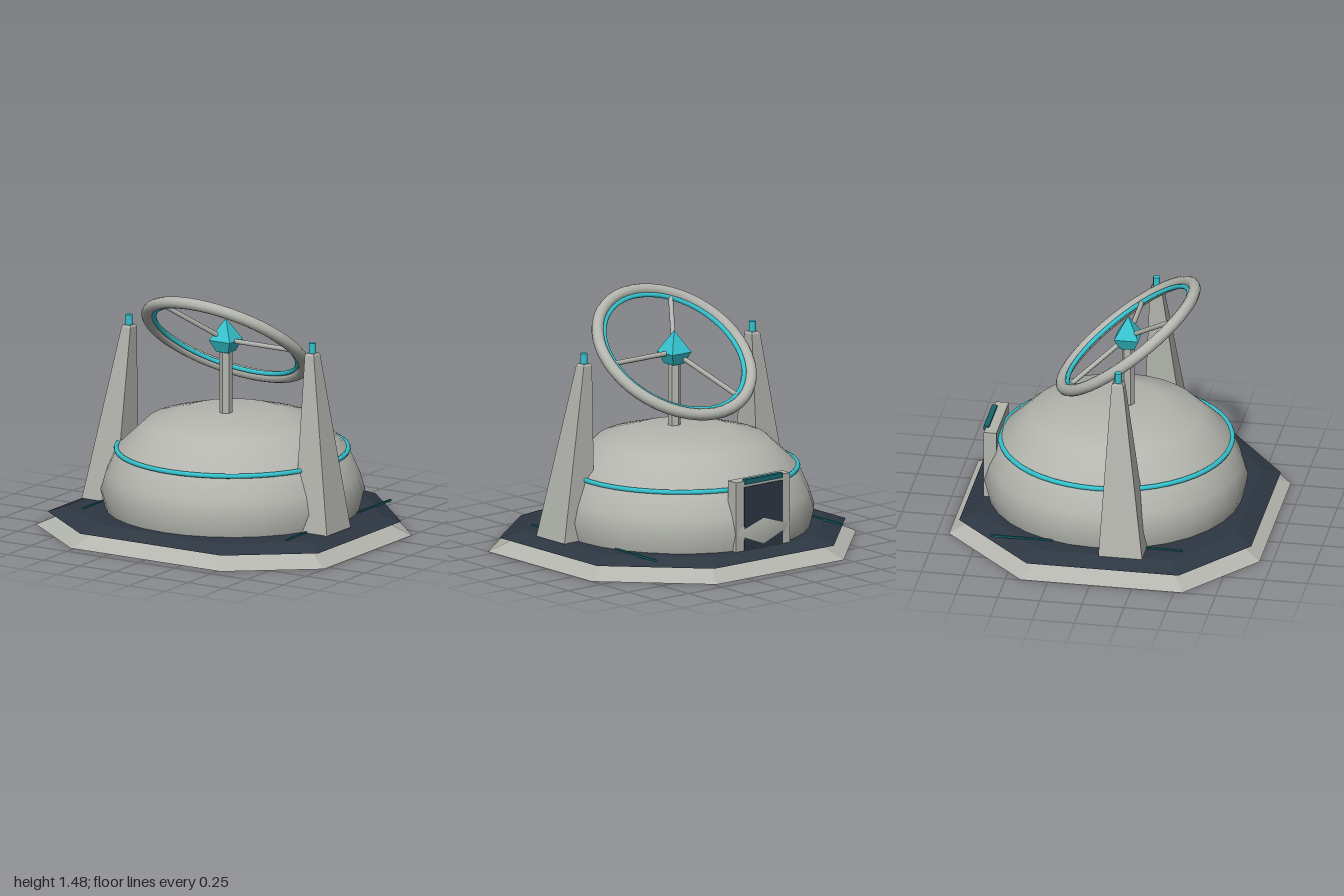
import * as THREE from 'three';

const mat = (name, color, opts = {}) => {
  const m = new THREE.MeshStandardMaterial({ color, ...opts });
  m.name = name;
  return m;
};

// Flat-sided loft between scaled copies of an (x, z) outline
function frustum(outline, y0, s0, y1, s1, caps = true) {
  const v = [], n = outline.length;
  const at = (i, s, y) => [outline[i % n][0] * s, y, outline[i % n][1] * s];
  const tri = (...p) => p.forEach(q => v.push(...q));
  for (let i = 0; i < n; i++) {
    const a = at(i, s0, y0), b = at(i + 1, s0, y0);
    const A = at(i, s1, y1), B = at(i + 1, s1, y1);
    tri(b, a, A, b, A, B);
    if (caps) tri([0, y0, 0], a, b, [0, y1, 0], B, A);
  }
  const g = new THREE.BufferGeometry();
  g.setAttribute('position', new THREE.Float32BufferAttribute(v, 3));
  g.computeVertexNormals();
  return g;
}

// Box whose lower and upper ends have their own [x0, x1, z0, z1] limits
function taperedBox(y0, low, y1, high) {
  const g = new THREE.BoxGeometry(1, 1, 1).toNonIndexed();
  const p = g.attributes.position;
  for (let i = 0; i < p.count; i++) {
    const up = p.getY(i) > 0, e = up ? high : low;
    p.setXYZ(i, p.getX(i) < 0 ? e[0] : e[1], up ? y1 : y0, p.getZ(i) < 0 ? e[2] : e[3]);
  }
  g.computeVertexNormals();
  return g;
}

export function createModel() {
  const model = new THREE.Group();
  const stone = mat('pale grey', 0xb3b5ae);
  const stoneFlat = stone;
  const slate = mat('dark slate', 0x2d3742);
  const cyan = mat('cyan', 0x35c4d0);
  const teal = mat('dark teal', 0x15666c);
  const add = (name, geo, material, x = 0, y = 0, z = 0, parent = model) => {
    const m = new THREE.Mesh(geo, material);
    m.name = name;
    m.position.set(x, y, z);
    parent.add(m);
    return m;
  };
  const box = (w, h, d) => new THREE.BoxGeometry(w, h, d);

  // Eight-sided base: sloping skirt, underside and dark deck
  const outline = [[-0.48, -0.93], [0.48, -0.93], [1, -0.41], [1, 0.55],
    [0.52, 0.925], [-0.52, 0.925], [-1, 0.55], [-1, -0.41]];
  add('baseSkirt', frustum(outline, 0, 1, 0.08, 0.84, false), stoneFlat);
  add('baseUnderside', frustum(outline, 0, 1, 0.01, 0.96), slate);
  add('deck', frustum(outline, 0.08, 0.94, 0.122, 0.83), slate);

  // Dome and the band around it
  const profile = [[0.745, 0.11], [0.775, 0.23], [0.745, 0.33], [0.68, 0.475],
    [0.505, 0.64], [0.29, 0.7], [0, 0.708]].map(([r, y]) => new THREE.Vector2(r, y));
  add('dome', new THREE.LatheGeometry(profile, 32), stone, 0, 0, -0.025);
  add('domeBand', new THREE.TorusGeometry(0.68, 0.015, 8, 48).rotateX(Math.PI / 2), cyan, 0, 0.475, -0.02);

  // Side pylons with glowing tips, and deck light strips
  for (const [side, s] of [['left', 1], ['right', -1]]) {
    const span = (a, b) => (s > 0 ? [a, b] : [-b, -a]);
    add(side + 'Pylon', taperedBox(0.12, [...span(0.62, 0.85), 0.025, 0.285],
      1.15, [...span(0.605, 0.667), 0.07, 0.14]), stoneFlat);
    add(side + 'PylonCap', taperedBox(1.15, [...span(0.605, 0.667), 0.07, 0.14],
      1.162, [...span(0.612, 0.66), 0.078, 0.132]), stoneFlat);
    add(side + 'PylonTip', new THREE.CylinderGeometry(0.021, 0.021, 0.07, 10), cyan, s * 0.636, 1.187, 0.105);
    add(side + 'FrontStrip', box(0.012, 0.012, 0.36), teal, s * 0.705, 0.124, 0.32);
    add(side + 'RearStrip', box(0.012, 0.012, 0.37), teal, s * 0.705, 0.124, -0.455);
  }

  // Mast and crystal
  const mastGeo = new THREE.CylinderGeometry(0.038, 0.038, 0.42, 6).toNonIndexed();
  mastGeo.computeVertexNormals();
  add('mast', mastGeo, stoneFlat, 0, 0.9, 0.05);
  const square = [[-1, -1], [1, -1], [1, 1], [-1, 1]];
  add('crystalTop', frustum(square, 1.145, 0.072, 1.272, 0.001), cyan, 0, 0, 0.05);
  add('crystalBottom', frustum(square, 1.075, 0.042, 1.145, 0.072), cyan, 0, 0, 0.05);

  // Tilted ring with inner trim and three spokes
  const ring = new THREE.Group();
  ring.name = 'tiltedRing';
  ring.position.set(0, 1.143, 0.05);
  ring.rotation.x = 0.913;
  model.add(ring);
  add('ringRim', new THREE.TorusGeometry(0.487, 0.035, 12, 48), stone, 0, 0, 0, ring);
  add('ringTrim', new THREE.TorusGeometry(0.445, 0.014, 8, 48), cyan, 0, 0, 0, ring);
  for (let i = 0; i < 3; i++) {
    const a = i * Math.PI * 2 / 3;
    const spoke = add('spoke', new THREE.CylinderGeometry(0.015, 0.015, 0.43, 8), stone,
      Math.cos(a) * 0.235, Math.sin(a) * 0.235, 0, ring);
    spoke.rotation.z = a - Math.PI / 2;
  }

  // Rear doorway
  add('doorFrame', box(0.41, 0.425, 0.075), stone, 0, 0.3275, -0.735);
  add('doorPanel', box(0.29, 0.38, 0.008), slate, 0, 0.315, -0.775);
  add('doorLight', box(0.28, 0.03, 0.032), teal, 0, 0.536, -0.769);

  return model;
}
